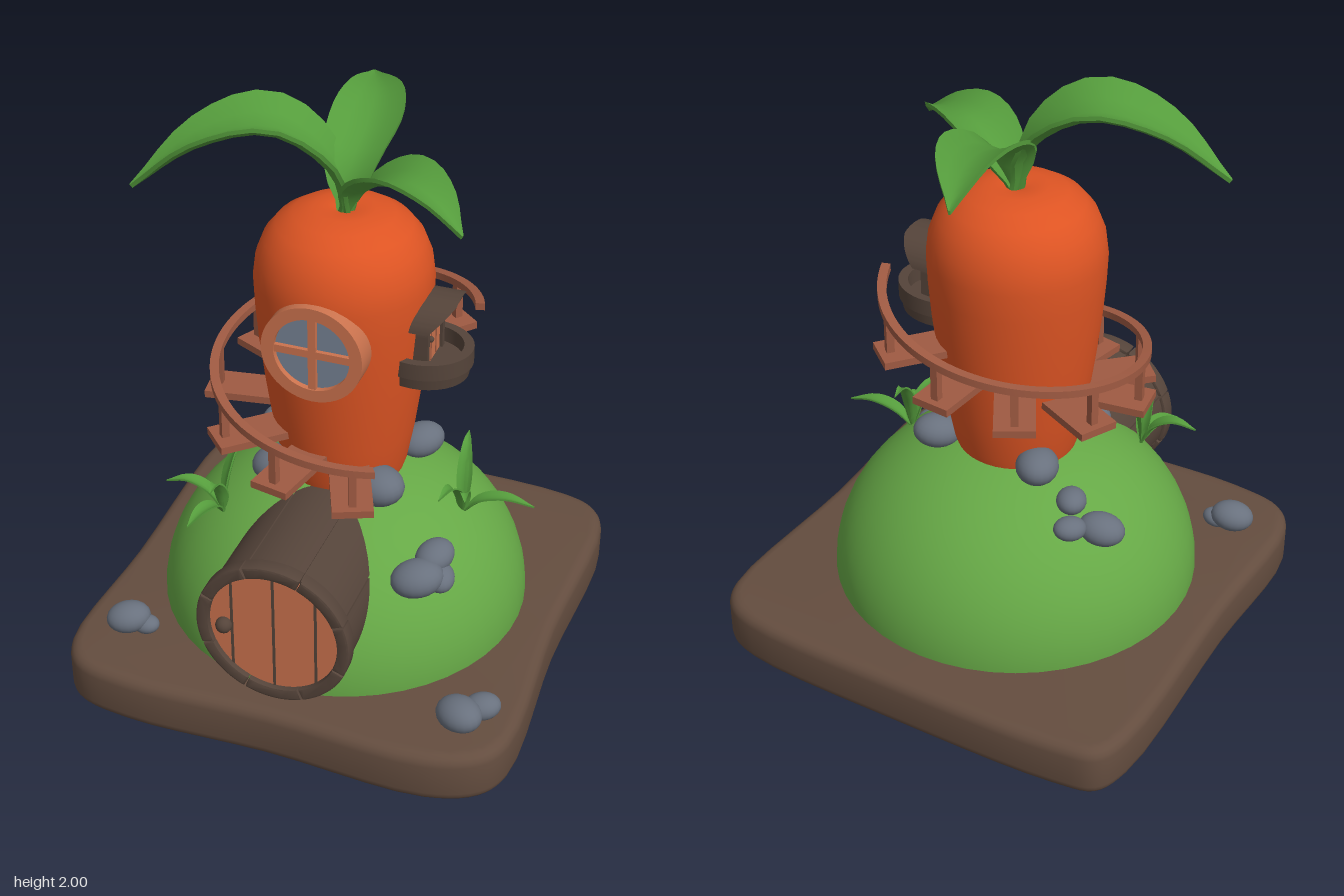
import * as THREE from 'three';
import { toCreasedNormals } from 'three/addons/utils/BufferGeometryUtils.js';

const mat = (name, color) => Object.assign(new THREE.MeshStandardMaterial({ color }), { name });
const V = (x, y, z) => new THREE.Vector3(x, y, z);

export function createModel() {
  const root = new THREE.Group();
  root.name = 'carrotHouse';
  const soil = mat('soil brown', 0x644d3f);
  const grass = mat('grass green', 0x66a846);
  const leafGreen = mat('leaf green', 0x559c3c);
  const orange = mat('carrot orange', 0xdd5423);
  const doorWood = mat('door wood', 0xcb734e);
  const stairWood = mat('stair wood', 0x9f5a42);
  const darkWood = mat('dark wood', 0x55443a);
  const stone = mat('stone grey', 0x69717e);
  const glass = mat('glass blue grey', 0x778294);

  const add = (name, geo, material, x = 0, y = 0, z = 0, parent = root) => {
    const m = new THREE.Mesh(geo, material);
    m.name = name;
    m.position.set(x, y, z);
    parent.add(m);
    return m;
  };
  const group = (name, x = 0, y = 0, z = 0) => {
    const g = new THREE.Group();
    g.name = name;
    g.position.set(x, y, z);
    root.add(g);
    return g;
  };
  const extrude = (shape, depth, opts = {}) => toCreasedNormals(
    new THREE.ExtrudeGeometry(shape, { depth, bevelEnabled: false, curveSegments: 24, ...opts }), 0.7);

  // Ring sector outline; a full turn becomes a ring with a hole
  const sector = (r0, r1, a0 = 0, a1 = Math.PI * 2) => {
    const s = new THREE.Shape();
    s.absarc(0, 0, r1, a0, a1, false);
    if (a1 - a0 > 6.28) s.holes.push(new THREE.Path().absarc(0, 0, r0, 0, Math.PI * 2, true));
    else { s.absarc(0, 0, r0, a1, a0, true); s.closePath(); }
    return s;
  };

  // Solid through equal cross-section rings, capped, faces turned outward
  const loft = (rings, crease = 0.7) => {
    const n = rings[0].length, tris = [];
    for (let i = 0; i + 1 < rings.length; i++) {
      for (let j = 0; j < n; j++) {
        const k = (j + 1) % n, a = rings[i][j], b = rings[i][k], c = rings[i + 1][k], d = rings[i + 1][j];
        tris.push([a, b, c], [a, c, d]);
      }
    }
    const first = rings[0], last = rings[rings.length - 1];
    for (let j = 1; j + 1 < n; j++) tris.push([first[0], first[j + 1], first[j]], [last[0], last[j], last[j + 1]]);
    const o = first[0];
    let vol = 0;
    for (const [a, b, c] of tris) vol += a.clone().sub(o).dot(b.clone().sub(o).cross(c.clone().sub(o)));
    if (vol < 0) tris.forEach(t => t.reverse());
    const geo = new THREE.BufferGeometry().setFromPoints(tris.flat());
    return toCreasedNormals(geo, crease);
  };

  // Arching, channelled leaf along a curve
  const leaf = (name, pts, halfWidth, material, parent = root, thick = 0.014) => {
    const curve = new THREE.CatmullRomCurve3(pts);
    const dir = pts[pts.length - 1].clone().sub(pts[0]).setY(0).normalize();
    const side = V(-dir.z, 0, dir.x);
    const us = [-1, -0.5, 0, 0.5, 1], rings = [];
    for (let i = 0; i <= 14; i++) {
      const t = i / 14, p = curve.getPointAt(t), tan = curve.getTangentAt(t);
      const up = side.clone().cross(tan).normalize();
      const w = halfWidth * Math.max(0.03, 0.22 * (1 - t), Math.sin(Math.PI * Math.pow(t, 0.88)));
      const at = (u, h) => p.clone().addScaledVector(side, u * w).addScaledVector(up, 0.4 * w * u * u + h);
      rings.push([...us.map(u => at(u, thick / 2)), ...us.slice().reverse().map(u => at(u, -thick / 2))]);
    }
    return add(name, loft(rings), material, 0, 0, 0, parent);
  };

  // Soil slab with an uneven rounded outline
  const outline = [[-.77, -.62], [-.72, -.74], [-.58, -.775], [0, -.79], [.6, -.77], [.72, -.72], [.775, -.62], [.765, 0],
    [.78, .6], [.72, .71], [.55, .78], [0, .765], [-.5, .775], [-.7, .73], [-.77, .62], [-.765, .1]]
    .map(([x, y]) => V(x, y, 0));
  const slabCurve = new THREE.CatmullRomCurve3(outline, true, 'centripetal');
  const slabShape = new THREE.Shape(slabCurve.getPoints(80).slice(0, -1).map(p => new THREE.Vector2(p.x, p.y)));
  const slab = extrude(slabShape, 0.11, { bevelEnabled: true, bevelSize: 0.04, bevelThickness: 0.04, bevelOffset: -0.04, bevelSegments: 4 });
  add('soilSlab', slab.rotateX(Math.PI / 2), soil, 0, 0.15, 0);

  // Grassy mound
  add('mound', new THREE.SphereGeometry(0.635, 48, 16, 0, Math.PI * 2, 0, Math.PI / 2), grass, 0, 0.185, 0).scale.y = 0.87;

  // Carrot tower
  const profile = [[.19, .66], [.215, .74], [.24, .88], [.263, 1.05], [.28, 1.2], [.29, 1.33], [.294, 1.43], [.285, 1.5],
    [.26, 1.565], [.22, 1.615], [.165, 1.65], [.1, 1.668], [.04, 1.665], [0, 1.65]];
  add('carrotBody', new THREE.LatheGeometry(profile.map(p => new THREE.Vector2(...p)), 40), orange, -0.005, 0, 0);

  // Leafy top
  leaf('leafLeftward', [V(0, 1.64, 0), V(-.05, 1.81, .02), V(-.22, 1.935, .07), V(-.43, 1.89, .15), V(-.63, 1.74, .23)], 0.14, leafGreen);
  leaf('leafRightward', [V(0, 1.64, 0), V(.06, 1.74, .01), V(.2, 1.82, .06), V(.33, 1.805, .12), V(.44, 1.74, .19)], 0.11, leafGreen);
  leaf('leafBackward', [V(0, 1.64, 0), V(0, 1.79, -.05), V(0, 1.865, -.19), V(-.03, 1.895, -.36), V(-.11, 1.87, -.57)], 0.115, leafGreen);

  // Round front window
  const win = group('roundWindow', 0, 1.3, 0);
  add('windowFrame', extrude(sector(0.128, 0.17), 0.115), doorWood, 0, 0, 0.2, win);
  add('windowGlass', new THREE.CylinderGeometry(0.135, 0.135, 0.1, 32).rotateX(Math.PI / 2), glass, 0, 0, 0.245, win);
  add('windowBarUpright', new THREE.BoxGeometry(0.026, 0.26, 0.02), doorWood, 0, 0, 0.3, win);
  add('windowBarAcross', new THREE.BoxGeometry(0.26, 0.026, 0.02), doorWood, 0, 0, 0.3, win);

  // Barrel entrance with a round door
  const entry = group('entrance', 0, 0.46, 0);
  for (let i = 0; i < 8; i++) {
    const a = i * Math.PI / 4 + Math.PI / 8;
    add('tunnelPlank', extrude(sector(0.22, 0.252, a + 0.012, a + Math.PI / 4 - 0.012), 0.47, { curveSegments: 5 }), darkWood, 0, 0, 0.18, entry);
    add('doorFrameBlock', extrude(sector(0.23, 0.257, a + 0.04, a + Math.PI / 4 - 0.04), 0.04,
      { curveSegments: 6, bevelEnabled: true, bevelSize: 0.008, bevelThickness: 0.008, bevelSegments: 2 }), darkWood, 0, 0, 0.642, entry);
  }
  add('tunnelCore', new THREE.CylinderGeometry(0.235, 0.235, 0.46, 32).rotateX(Math.PI / 2), darkWood, 0, 0, 0.42, entry);
  add('roundDoor', new THREE.CylinderGeometry(0.226, 0.226, 0.03, 40).rotateX(Math.PI / 2), doorWood, 0, 0, 0.655, entry);
  for (const x of [-0.145, 0, 0.145]) {
    add('doorGroove', new THREE.BoxGeometry(0.009, 2 * Math.sqrt(0.225 ** 2 - x * x), 0.004), darkWood, x, 0, 0.671, entry);
  }
  add('doorKnob', new THREE.SphereGeometry(0.028, 16, 12), darkWood, -0.17, -0.01, 0.68, entry);

  // Balcony
  const balcony = group('balcony', 0.27, 0, 0.005);
  balcony.scale.x = 1.15;
  add('balconyFloor', new THREE.CylinderGeometry(0.138, 0.132, 0.045, 32), darkWood, 0, 1.153, 0, balcony);
  add('balconyWall', extrude(sector(0.115, 0.144), 0.058).rotateX(-Math.PI / 2), darkWood, 0, 1.172, 0, balcony);

  // Arched balcony door under a canopy
  const upper = group('balconyDoor', 0.24, 1.17, 0);
  upper.rotation.y = Math.PI / 2;
  const arch = (w, h) => {
    const s = new THREE.Shape();
    s.moveTo(-w, 0);
    s.lineTo(w, 0);
    s.lineTo(w, h - w);
    s.absarc(0, h - w, w, 0, Math.PI, false);
    s.closePath();
    return s;
  };
  const frame = arch(0.089, 0.215);
  frame.holes.push(arch(0.068, 0.192));
  add('archFrame', extrude(frame, 0.07), darkWood, 0, 0, 0, upper);
  add('archDoor', extrude(arch(0.072, 0.196), 0.06), doorWood, 0, 0, 0, upper);
  for (const x of [-0.025, 0.025]) add('archDoorGroove', new THREE.BoxGeometry(0.005, 0.17, 0.003), stairWood, x, 0.095, 0.061, upper);
  add('archDoorKnob', new THREE.SphereGeometry(0.011, 12, 8), darkWood, -0.045, 0.1, 0.066, upper);
  const canopy = new THREE.ExtrudeGeometry(sector(0.098, 0.126, 0.12, Math.PI - 0.12), { depth: 0.15, bevelEnabled: false, curveSegments: 20 });
  const cp = canopy.attributes.position;
  for (let i = 0; i < cp.count; i++) {
    cp.setZ(i, cp.getZ(i) * (0.45 + 0.55 * Math.min(1, cp.getY(i) / 0.115)));
    cp.setY(i, cp.getY(i) * 0.8);
  }
  add('canopy', toCreasedNormals(canopy, 0.7), darkWood, 0, 0.147, 0, upper);

  // Spiral stair: angle 0 is the front and it climbs by way of -x
  const stairs = group('spiralStair');
  const deg = Math.PI / 180;
  const railY = d => 0.985 + d * 0.0013;
  const polar = (d, r, y) => V(-r * Math.sin(d * deg), y, r * Math.cos(d * deg));
  const railRings = [];
  for (let d = -32; d <= 252; d += 4) {
    const y = railY(d);
    railRings.push([polar(d, 0.42, y - 0.013), polar(d, 0.45, y - 0.013), polar(d, 0.45, y + 0.013), polar(d, 0.42, y + 0.013)]);
  }
  add('handrail', loft(railRings, 0.5), stairWood, 0, 0, 0, stairs);
  for (let i = 0; i < 8; i++) {
    const d = -23 + i * 34.7, y = railY(d) - 0.145;
    const step = new THREE.Group();
    step.name = 'stairStep';
    step.rotation.y = -d * deg;
    stairs.add(step);
    add('tread', new THREE.BoxGeometry(0.135, 0.026, 0.27), stairWood, 0, y, 0.335, step);
    add('treadSupport', new THREE.BoxGeometry(0.035, 0.03, 0.24), stairWood, 0, y - 0.02, 0.31, step);
    add('post', new THREE.BoxGeometry(0.026, 0.145, 0.026), stairWood, 0, y + 0.072, 0.433, step);
  }

  // Stones: x, y, z, radius, turn
  const stones = [
    [-.18, .745, .16, .088, .3], [.17, .74, .16, .095, -.4], [.22, .735, -.15, .08, .8], [-.18, .745, -.17, .085, 2],
    [.38, .555, .36, .085, .5], [.41, .59, .27, .07, 1.2], [.44, .54, .31, .06, 2], [-.43, .585, -.18, .075, .3],
    [-.36, .62, -.27, .055, 1], [-.31, .65, -.17, .06, 2], [-.6, .235, .52, .073, .4], [-.54, .212, .51, .045, 0],
    [.6, .215, .57, .08, -.5], [.66, .215, .51, .06, .4]];
  for (const [x, y, z, r, turn] of stones) {
    const s = add('stone', new THREE.SphereGeometry(r, 20, 14), stone, x, y, z);
    s.scale.set(1.05, 0.72, 0.85);
    s.rotation.set(0, turn, 0.15);
  }

  // Grass tufts: blade tips relative to each tuft
  const tufts = [
    [-.33, .6, .3, [[-.19, .1, .03], [.09, .28, -.08], [-.06, .03, .16], [.0, .14, .1]]],
    [.42, .58, 0, [[.24, .06, -.03], [-.03, .23, -.15], [-.04, .14, .15], [.03, .1, .08]]]];
  for (const [x, y, z, tips] of tufts) {
    const tuft = group('grassTuft', x, y, z);
    for (const [a, b, c] of tips) {
      leaf('grassBlade', [V(0, 0, 0), V(a * .25, b * .5 + .03, c * .25), V(a * .6, b * .85 + .03, c * .6), V(a, b, c)], 0.026, leafGreen, tuft, 0.006);
    }
  }
  return root;
}
